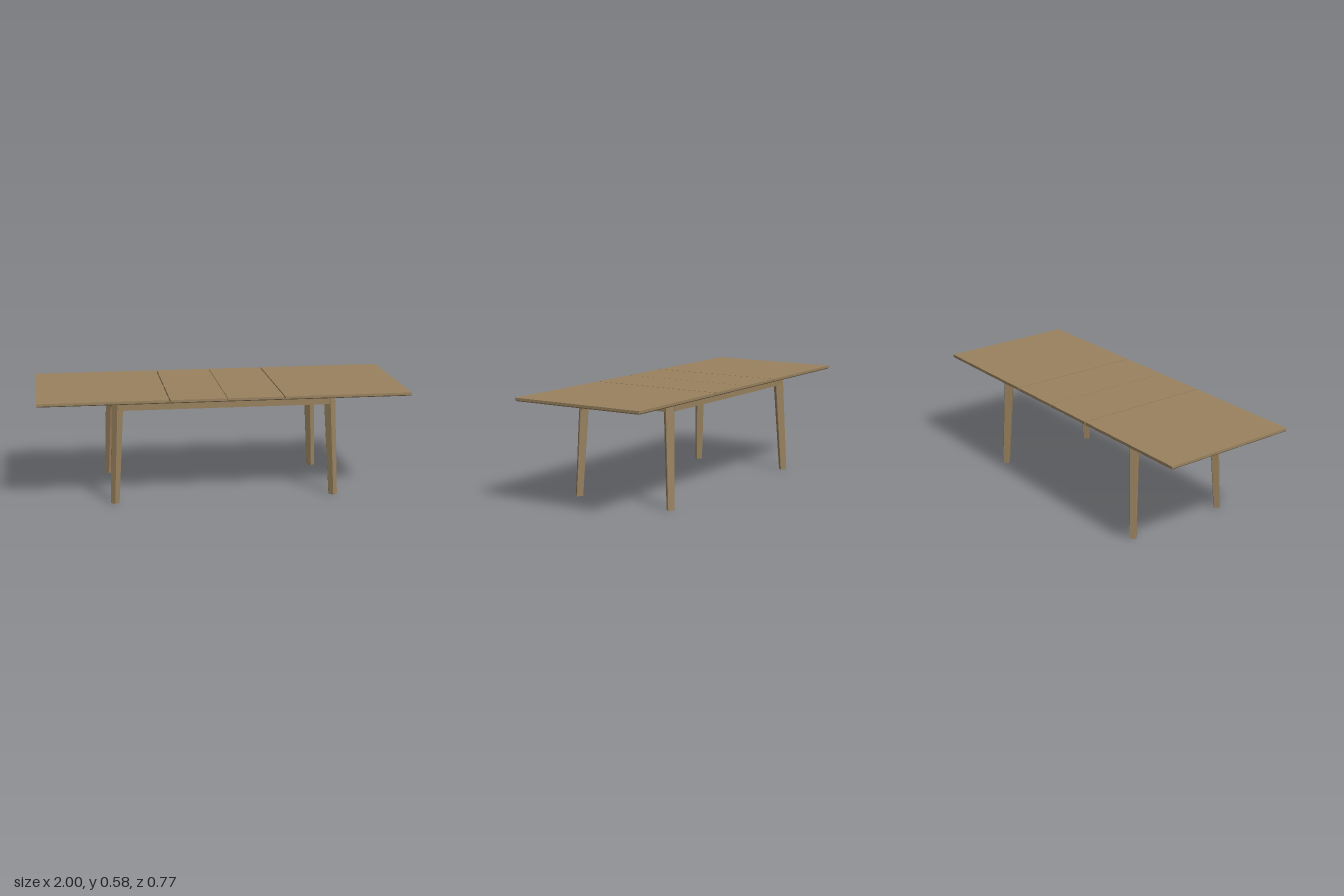
import * as THREE from 'three';

const wood = new THREE.MeshStandardMaterial({ color: 0x99825f });
wood.name = 'wood';

// Flat-faced solid through stacked rings of [x, y, z] points, counter-clockwise from above
function loft(rings) {
  const pos = [];
  const n = rings[0].length;
  const tri = (a, b, c) => pos.push(...a, ...b, ...c);
  for (let k = 0; k < rings.length - 1; k++) {
    for (let i = 0; i < n; i++) {
      const j = (i + 1) % n;
      tri(rings[k][i], rings[k][j], rings[k + 1][j]);
      tri(rings[k][i], rings[k + 1][j], rings[k + 1][i]);
    }
  }
  const bottom = rings[0], top = rings[rings.length - 1];
  for (let i = 1; i < n - 1; i++) {
    tri(bottom[0], bottom[i + 1], bottom[i]);
    tri(top[0], top[i], top[i + 1]);
  }
  const g = new THREE.BufferGeometry();
  g.setAttribute('position', new THREE.Float32BufferAttribute(pos, 3));
  g.computeVertexNormals();
  return g;
}

const rect = (x0, x1, z, y) => [[x1, y, z], [x1, y, -z], [x0, y, -z], [x0, y, z]];

// Diamond with slightly blunted corners
function diamond(cx, y, cz, r) {
  const ring = [];
  const d = r * 0.07;
  for (let i = 0; i < 4; i++) {
    const a = (i * Math.PI) / 2, c = Math.cos(a), s = Math.sin(a);
    for (const t of [-d, d]) ring.push([cx + r * c - t * s, y, cz - r * s - t * c]);
  }
  return ring;
}

export function createModel() {
  const table = new THREE.Group();
  table.name = 'extendingTable';

  function add(name, geometry, x = 0, y = 0, z = 0) {
    const m = new THREE.Mesh(geometry, wood);
    m.name = name;
    m.position.set(x, y, z);
    table.add(m);
    return m;
  }
  const box = (name, w, h, d, x, y, z) => add(name, new THREE.BoxGeometry(w, h, d), x, y, z);

  const topY = 0.578, underY = 0.56, halfDepth = 0.384, bevel = 0.004;

  // Four top panels, bevelled below along the outer edges
  const panels = [
    ['rightEndPanel', -1, -0.309], ['rightLeaf', -0.303, -0.0015],
    ['leftLeaf', 0.0015, 0.303], ['leftEndPanel', 0.309, 1],
  ];
  for (const [name, x0, x1] of panels) {
    const b0 = x0 === -1 ? bevel : 0, b1 = x1 === 1 ? bevel : 0;
    add(name, loft([
      rect(x0 + b0, x1 - b1, halfDepth - bevel, underY),
      rect(x0, x1, halfDepth, underY + 0.005),
      rect(x0, x1, halfDepth, topY),
    ]));
  }

  // Dowels bridging the gaps between end panels and leaves
  for (const x of [-0.306, 0.306]) {
    for (const z of [-0.285, 0, 0.285]) {
      const dowel = new THREE.CylinderGeometry(0.005, 0.005, 0.02, 12);
      add('dowel', dowel, x, 0.569, z).rotation.z = Math.PI / 2;
    }
  }

  // Splayed, tapered legs turned corner-out
  for (const sx of [-1, 1]) {
    for (const sz of [-1, 1]) {
      const name = (sz > 0 ? 'front' : 'back') + (sx > 0 ? 'Left' : 'Right') + 'Leg';
      add(name, loft([
        diamond(sx * 0.598, 0, sz * 0.2945, 0.0235),
        diamond(sx * 0.573, underY, sz * 0.269, 0.031),
      ]));
    }
  }

  // Long aprons
  for (const s of [-1, 1]) {
    box(s > 0 ? 'frontApron' : 'backApron', 1.138, 0.052, 0.022, 0, 0.534, s * 0.288);
  }

  // End aprons, notched for the sliding rail
  const outline = new THREE.Shape([
    [-0.264, 0.508], [0.264, 0.508], [0.264, 0.56], [0.014, 0.56],
    [0.014, 0.535], [-0.014, 0.535], [-0.014, 0.56], [-0.264, 0.56],
  ].map(([x, y]) => new THREE.Vector2(x, y)));
  for (const s of [-1, 1]) {
    const g = new THREE.ExtrudeGeometry(outline, { depth: 0.022, bevelEnabled: false });
    g.translate(0, 0, -0.011);
    add(s > 0 ? 'leftApron' : 'rightApron', g, s * 0.592).rotation.y = Math.PI / 2;
  }

  // Central sliding rail
  box('slidingRail', 1.912, 0.022, 0.018, 0, 0.549, 0);

  return table;
}
